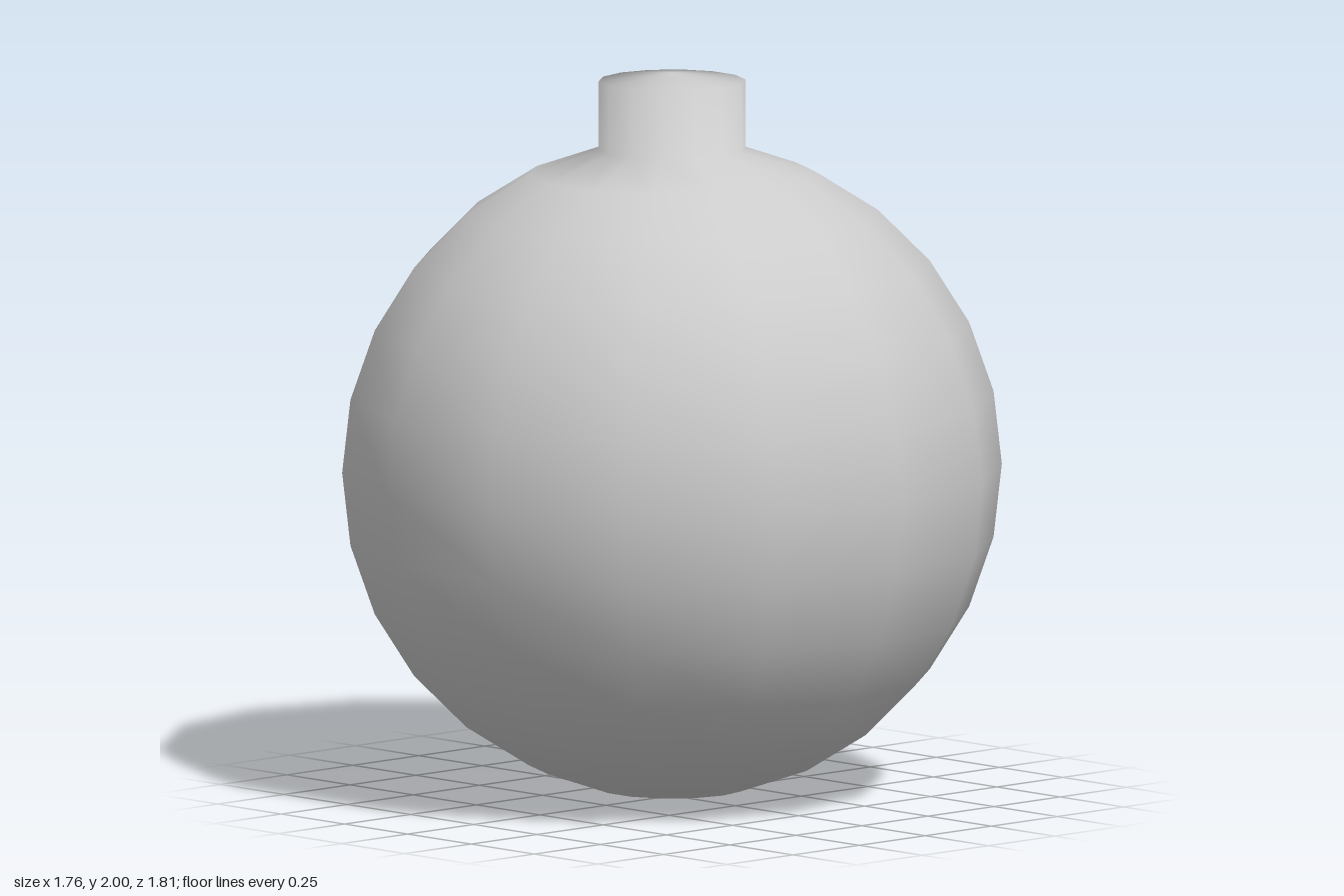
import * as THREE from 'three';
import { mergeVertices } from 'three/addons/utils/BufferGeometryUtils.js';

const SIDES = 14;
const RINGS = 14;
const RADIUS = 0.905;

export function createModel() {
  const group = new THREE.Group();
  group.name = 'roundFlask';

  // Profile from the bottom pole up to the ring where the neck begins
  const profile = [];
  for (let i = 0; i < RINGS; i++) {
    const a = (i / RINGS) * Math.PI;
    profile.push(new THREE.Vector2(RADIUS * Math.sin(a), RADIUS - RADIUS * Math.cos(a)));
  }
  // Straight neck and its slightly domed cap
  const neckRadius = profile[RINGS - 1].x;
  profile.push(new THREE.Vector2(neckRadius, 1.977), new THREE.Vector2(0, 2));

  // One welded skin, so the shading flows from ball to neck to cap
  const lathe = new THREE.LatheGeometry(profile, SIDES);
  lathe.deleteAttribute('uv');
  lathe.deleteAttribute('normal');
  const geometry = mergeVertices(lathe);
  geometry.computeVertexNormals();

  const body = new THREE.Mesh(geometry, new THREE.MeshStandardMaterial({ color: 0xcccccc }));
  body.name = 'ballWithNeck';
  group.add(body);
  return group;
}
